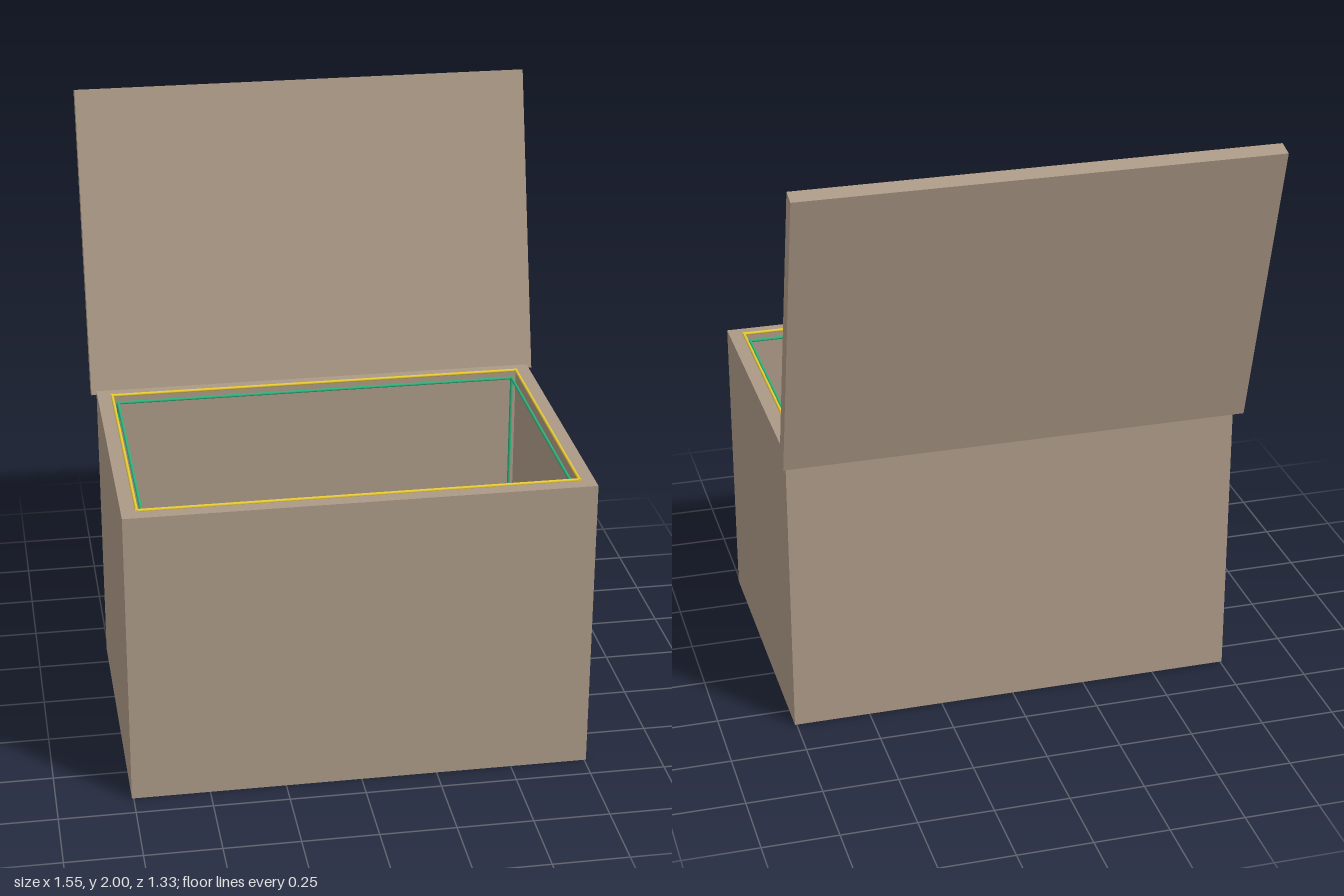
import * as THREE from 'three';

const W = 0.756, BACK = -0.343, FRONT = 0.665, TOP = 1.008, T = 0.05;
const MID = (BACK + FRONT) / 2, D = FRONT - BACK;

function material(name, color) {
  const m = new THREE.MeshStandardMaterial({ color });
  m.name = name;
  return m;
}

function box(parent, name, mat, size, pos) {
  const mesh = new THREE.Mesh(new THREE.BoxGeometry(...size), mat);
  mesh.name = name;
  mesh.position.set(...pos);
  parent.add(mesh);
}

// Round rod of the given length along one axis
function rod(parent, name, mat, axis, length, r, pos) {
  const geometry = new THREE.CylinderGeometry(r, r, length, 40);
  if (axis === 'x') geometry.rotateZ(Math.PI / 2);
  if (axis === 'z') geometry.rotateX(Math.PI / 2);
  const mesh = new THREE.Mesh(geometry, mat);
  mesh.name = name;
  mesh.position.set(...pos);
  parent.add(mesh);
}

// Rectangular ring of rods, half extents hx and hz, at height y
function ring(parent, name, mat, hx, hz, y, r) {
  for (const s of [-1, 1]) {
    rod(parent, name, mat, 'x', 2 * (hx + r), r, [0, y, MID + s * hz]);
    rod(parent, name, mat, 'z', 2 * (hz + r), r, [s * hx, y, MID]);
  }
}

export function createModel() {
  const model = new THREE.Group();
  model.name = 'openChest';
  const wood = material('taupe', 0xab9986);
  const yellow = material('yellow', 0xf2d338);
  const green = material('green', 0x2fb07a);
  const red = material('red', 0xe55b54);

  // Hollow body: four walls as one extruded frame, plus the floor
  const rect = (path, hx, hz) => {
    path.moveTo(-hx, -hz);
    path.lineTo(hx, -hz);
    path.lineTo(hx, hz);
    path.lineTo(-hx, hz);
    path.closePath();
    return path;
  };
  const outline = rect(new THREE.Shape(), W, D / 2);
  outline.holes.push(rect(new THREE.Path(), W - T, D / 2 - T));
  const wallGeometry = new THREE.ExtrudeGeometry(outline, { depth: TOP, bevelEnabled: false });
  wallGeometry.rotateX(-Math.PI / 2);
  const walls = new THREE.Mesh(wallGeometry, wood);
  walls.name = 'walls';
  walls.position.z = MID;
  model.add(walls);
  box(model, 'floor', wood, [2 * (W - T), T, D - 2 * T], [0, T / 2, MID]);

  // Lid, leaning back on its hinge line
  const hinge = new THREE.Group();
  hinge.name = 'lid';
  hinge.position.set(0, 0.995, -0.341);
  hinge.rotation.x = -Math.PI / 12;
  box(hinge, 'lidPanel', wood, [1.547, 1.04, 0.056], [0, 0.52, -0.028]);
  model.add(hinge);

  // Trim around the opening
  ring(model, 'openingTrim', yellow, W - T, D / 2 - T, TOP + 0.002, 0.005);

  // Inner frame along the edges of the cavity
  const hx = 0.688, hz = 0.438, low = 0.067, high = 0.988, r = 0.005;
  for (const y of [low, high]) ring(model, 'innerFrame', green, hx, hz, y, r);
  for (const sx of [-1, 1]) {
    for (const sz of [-1, 1]) {
      rod(model, 'innerFramePost', green, 'y', high - low, r,
        [sx * hx, (high + low) / 2, MID + sz * hz]);
    }
  }

  // Gem in the middle of the cavity
  const gem = new THREE.Mesh(new THREE.OctahedronGeometry(0.08), red);
  gem.name = 'gem';
  gem.position.set(0, 0.53, MID);
  model.add(gem);

  return model;
}
